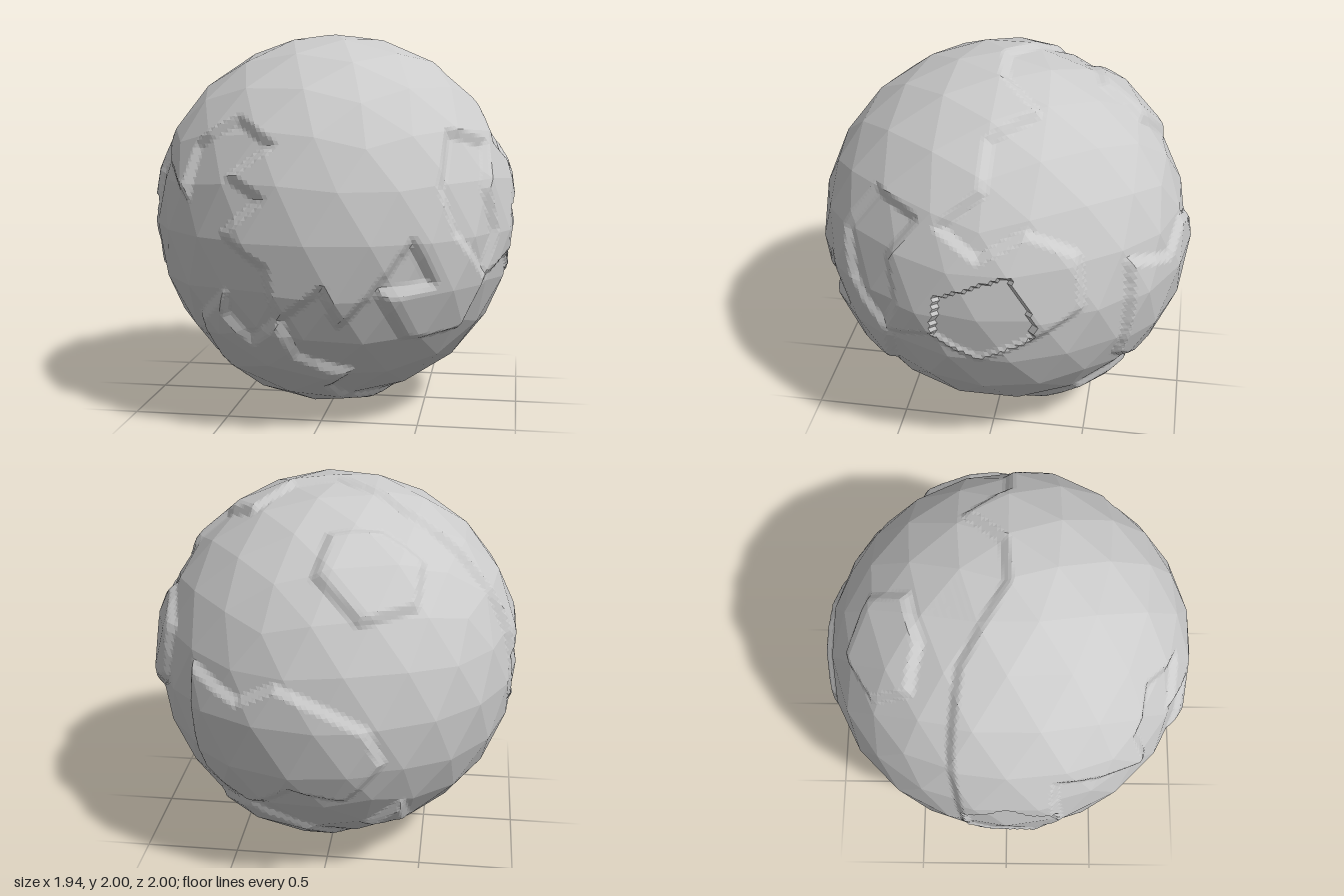
import * as THREE from 'three';
import { mergeVertices } from 'three/addons/utils/BufferGeometryUtils.js';

const SEA = 0.97, LAND = 1.0, CENTRE_Y = 0.993, BEVEL = 0.05;
const v = (x, y, z) => new THREE.Vector3(x, y, z).normalize();
const rest = (a, b) => Math.sqrt(Math.max(0, 0.97 - a * a - b * b));

// Coast points placed on the front, right or rear-top of the globe
const F = (x, y) => v(x, y - 0.99, rest(x, y - 0.99));
const R = (z, y) => v(rest(z, y - 0.99), y - 0.99, z);
const T = (x, z) => v(x, rest(x, z), z);
const B = (x, z) => v(x, -rest(x, z), z);

// Main continent: crown, front, right-hand plate and left cape
const continent = [
  v(0, 1, 0), v(0.23, 0.97, -0.02), v(0.42, 0.87, -0.22), v(0.6, 0.79, 0), v(0.79, 0.61, 0),
  R(0.2, 1.43), R(0, 1.31), R(-0.22, 1.43), R(-0.47, 1.31), R(-0.5, 1.03), R(0, 0.73),
  R(0.25, 0.86), R(0.47, 0.79), R(0.5, 0.57), F(0.7, 0.51), F(0.45, 0.5), F(0.35, 0.75),
  F(0.6, 0.78), F(0.5, 1.0), F(0.15, 0.58), F(0.08, 0.78), F(-0.15, 0.6), F(-0.2, 0.87),
  F(-0.43, 1.02), F(-0.22, 1.2), F(-0.4, 1.3), F(-0.18, 1.45), F(-0.38, 1.57), F(-0.6, 1.43),
  F(-0.65, 1.18), F(-0.85, 1.42), v(-0.93, 0.3, 0.25), v(-0.96, 0, 0.28), v(-0.95, -0.25, 0.15),
  v(-0.96, -0.1, -0.2), v(-0.92, 0.3, -0.25), v(-0.75, 0.6, -0.28), v(-0.4, 0.89, -0.23),
];
// Lake between the front and the right-hand plate
const lake = [
  R(0.5, 0.8), R(0.43, 1.0), R(0.47, 1.22), R(0.32, 1.44), R(0.55, 1.5), F(0.62, 1.25), F(0.7, 1.02),
];
// Plate under the globe, reaching up at the front and back
const southPlate = [
  B(0.18, 0.68), B(0.05, 0.57), B(0.14, 0.36), B(0.36, 0), B(0.57, -0.47), v(0.38, -0.58, -0.72),
  v(0.07, -0.72, -0.69), B(-0.14, -0.31), B(-0.3, 0.05), B(-0.42, 0.28), F(-0.55, 0.35),
  F(-0.6, 0.55), F(-0.43, 0.72), F(-0.43, 0.6), F(-0.3, 0.47), F(-0.15, 0.6), F(-0.08, 0.4),
];
// Six-sided plate at the back
const backPlate = [
  v(0.66, 0.21, -0.72), v(0.4, 0.1, -0.91), v(0.2, 0.21, -0.96), v(-0.05, 0.11, -0.99),
  v(-0.25, 0.0, -0.97), v(-0.33, -0.2, -0.92), v(-0.14, -0.44, -0.89), v(0.14, -0.38, -0.91),
  v(0.37, -0.56, -0.75), v(0.62, -0.39, -0.68),
];
// Small islands
const roundIsland = [
  T(-0.2, -0.82), T(0.03, -0.7), T(-0.02, -0.5), T(-0.27, -0.43), T(-0.48, -0.48), T(-0.46, -0.68),
];
const islet = [v(-0.23, -0.68, -0.7), v(-0.42, -0.51, -0.75), v(-0.44, -0.7, -0.565)];

// Signed angle swept by a closed outline around a direction
function sweep(p, outline) {
  let sum = 0;
  outline.forEach((a, i) => {
    const b = outline[(i + 1) % outline.length];
    const ap = a.dot(p), bp = b.dot(p);
    const cross = p.x * (a.y * b.z - a.z * b.y) + p.y * (a.z * b.x - a.x * b.z) + p.z * (a.x * b.y - a.y * b.x);
    sum += Math.atan2(cross, a.dot(b) - ap * bp);
  });
  return sum;
}

// Returns a function giving the distance inside (+) or outside (-) an outline
function region(outline) {
  const mid = outline.reduce((s, p) => s.add(p), new THREE.Vector3()).normalize();
  const turn = Math.sign(sweep(mid, outline));
  const lines = outline.map((a, i) => new THREE.Line3(a, outline[(i + 1) % outline.length]));
  const near = new THREE.Vector3();
  return (p) => {
    let d = Infinity;
    for (const line of lines) {
      line.closestPointToPoint(p, true, near);
      d = Math.min(d, near.normalize().distanceTo(p));
    }
    return sweep(p, outline) * turn > Math.PI ? d : -d;
  };
}

// Geodesic ball with a vertex at each pole
function ball(detail) {
  const g = new THREE.IcosahedronGeometry(1, detail);
  g.rotateZ(-Math.atan(2 / (1 + Math.sqrt(5))));
  return g;
}

// Unit face normals and offsets of the coarse facets
function facetPlanes() {
  const pos = ball(3).attributes.position, planes = [];
  const [a, b, c] = [0, 1, 2].map(() => new THREE.Vector3());
  for (let i = 0; i < pos.count; i += 3) {
    [a, b, c].forEach((q, k) => q.fromBufferAttribute(pos, i + k));
    planes.push(new THREE.Plane().setFromCoplanarPoints(a, b, c));
  }
  return planes;
}

function globeGeometry() {
  let g = ball(51);
  g.deleteAttribute('uv');
  g.deleteAttribute('normal');
  g = mergeVertices(g, 1e-4);
  const planes = facetPlanes();
  const lands = [continent, southPlate, backPlate, roundIsland, islet].map(region);
  const water = region(lake);
  const pos = g.attributes.position, p = new THREE.Vector3();
  for (let i = 0; i < pos.count; i++) {
    p.fromBufferAttribute(pos, i).normalize();
    // radius of the coarse facet in this direction
    let r = Infinity;
    for (const pl of planes) {
      const n = pl.normal.dot(p);
      if (n > 0.9) r = Math.min(r, -pl.constant / n);
    }
    // raise the land, with a short sloping coast
    const inside = Math.min(Math.max(...lands.map((f) => f(p))), -water(p));
    const t = THREE.MathUtils.clamp(inside / BEVEL + 0.5, 0, 1);
    p.multiplyScalar(r * THREE.MathUtils.lerp(SEA, LAND, t));
    pos.setXYZ(i, p.x, p.y, p.z);
  }
  g.computeVertexNormals();
  return g;
}

export function createModel() {
  const group = new THREE.Group();
  group.name = 'planet';
  const material = new THREE.MeshStandardMaterial({ color: 0xcccccc, flatShading: true });
  const globe = new THREE.Mesh(globeGeometry(), material);
  globe.name = 'globeWithContinents';
  globe.position.y = CENTRE_Y;
  group.add(globe);
  return group;
}
